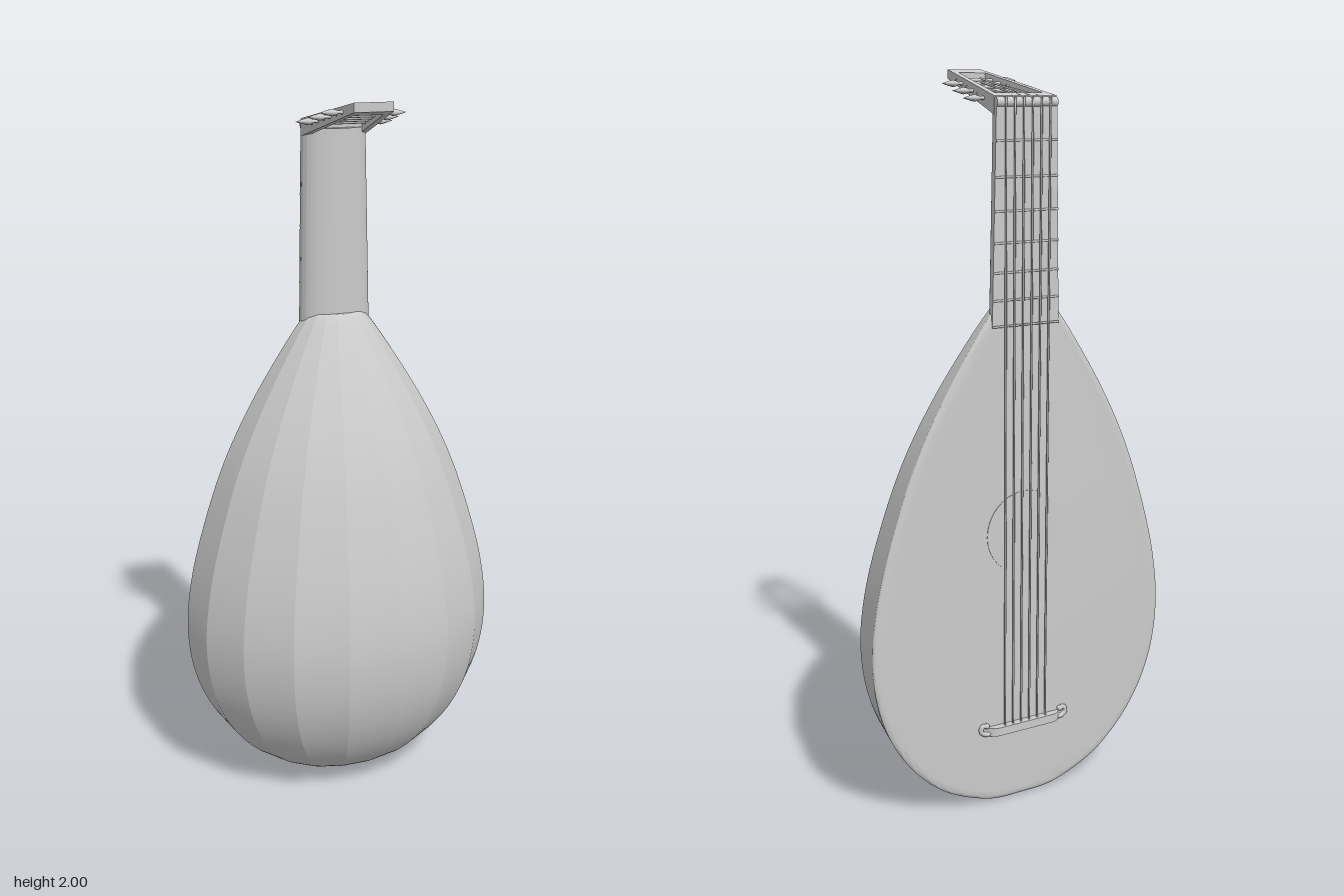
import * as THREE from 'three';
import { toCreasedNormals } from 'three/addons/utils/BufferGeometryUtils.js';

const V = (x, y, z) => new THREE.Vector3(x, y, z);
const mat = new THREE.MeshStandardMaterial({ color: 0xcccccc });

function add(parent, name, geo) {
  const m = new THREE.Mesh(geo, mat);
  m.name = name;
  parent.add(m);
  return m;
}

function group(parent, name) {
  const g = new THREE.Group();
  g.name = name;
  parent.add(g);
  return g;
}

// Thin round bar between two points
function rod(parent, name, a, b, r, sides = 6) {
  const m = add(parent, name, new THREE.CylinderGeometry(r, r, a.distanceTo(b), sides));
  m.position.copy(a).add(b).multiplyScalar(0.5);
  m.quaternion.setFromUnitVectors(V(0, 1, 0), b.clone().sub(a).normalize());
  return m;
}

// Move every vertex by a rule
function warp(geo, fn) {
  const p = geo.attributes.position;
  for (let i = 0; i < p.count; i++) p.setXYZ(i, ...fn(p.getX(i), p.getY(i), p.getZ(i)));
  geo.computeVertexNormals();
  return geo;
}

// Half outline of the body (half width, height)
const outline = new THREE.SplineCurve([
  [0, 0], [0.11, 0.008], [0.25, 0.07], [0.36, 0.18], [0.43, 0.32], [0.455, 0.48], [0.438, 0.65],
  [0.387, 0.84], [0.32, 1.02], [0.225, 1.2], [0.1, 1.388], [0.06, 1.412], [0, 1.418],
].map(([x, y]) => new THREE.Vector2(x, y))).getPoints(72);

// One bowl rib between two section points, smooth along its length
function ribGeometry([xa, da], [xb, db]) {
  const pos = [], index = [];
  outline.forEach(({ x: r, y }, i) => {
    pos.push(r * xa, y, -0.17 + r * da, r * xb, y, -0.17 + r * db);
    if (i) {
      const k = 2 * i;
      index.push(k - 2, k - 1, k + 1, k - 2, k + 1, k);
    }
  });
  const g = new THREE.BufferGeometry();
  g.setAttribute('position', new THREE.Float32BufferAttribute(pos, 3));
  g.setIndex(index);
  g.computeVertexNormals();
  return g;
}

// Pegbox rules: half width and centre height along z
const boxHalf = z => 0.09 - (z + 0.165) * 0.122;
const boxY = z => 1.952 + 0.24 * z;

export function createModel() {
  const root = new THREE.Group();
  root.name = 'lute';

  // Bowl of nine ribs
  const bowl = group(root, 'bowl');
  const half = [[1, 0], [0.945, 0.29], [0.77, 0.53], [0.505, 0.715], [0.175, 0.807]];
  const section = [...half.map(([x, d]) => [-x, d]), ...half.slice().reverse()];
  for (let i = 0; i < 9; i++) add(bowl, 'rib', ribGeometry(section[i], section[i + 1]));

  // Soundboard with a rounded rim
  const edge = [...outline, ...outline.slice(1, -1).reverse().map(p => new THREE.Vector2(-p.x, p.y))];
  const board = new THREE.ExtrudeGeometry(new THREE.Shape(edge), {
    depth: 0.002, bevelThickness: 0.007, bevelSize: 0.022, bevelOffset: -0.022, bevelSegments: 4,
  });
  add(root, 'soundboard', toCreasedNormals(board, 0.6)).position.z = -0.171;

  // Rose on the soundboard
  const rose = add(root, 'rose', new THREE.CylinderGeometry(0.115, 0.115, 0.003, 40));
  rose.rotation.x = Math.PI / 2;
  rose.position.set(0, 0.787, -0.178);

  // Neck: half-round section, tapering upward
  const neckWidth = y => 0.1 - (y - 1.38) * 0.021;
  const d = new THREE.Shape();
  d.absellipse(0, 0, 1, 0.052, Math.PI, 2 * Math.PI, false);
  d.closePath();
  const neck = new THREE.ExtrudeGeometry(d, { depth: 0.54, bevelEnabled: false, curveSegments: 28 });
  neck.rotateX(-Math.PI / 2);
  warp(neck, (x, y, z) => [x * neckWidth(y + 1.37), y + 1.37, z - 0.171]);
  add(root, 'neck', toCreasedNormals(neck, 0.6));

  // Fingerboard, frets and nut
  const fingerboard = new THREE.BoxGeometry(2, 0.56, 0.011).toNonIndexed();
  add(root, 'fingerboard', warp(fingerboard, (x, y, z) => [x * neckWidth(y + 1.64), y + 1.64, z - 0.175]));
  const frets = group(root, 'frets');
  for (let n = 1; n <= 7; n++) {
    const y = 1.92 - 1.7 * (1 - 2 ** (-n / 12));
    const w = neckWidth(y);
    rod(frets, 'fret', V(-w, y, -0.181), V(w, y, -0.181), 0.003);
  }
  rod(root, 'nut', V(-0.089, 1.918, -0.174), V(0.089, 1.918, -0.174), 0.013, 16);

  // Open pegbox, thinner and narrower toward the tip
  const plan = (z0, z1, inset, Path) => new Path([
    [-boxHalf(z0) + inset, -z0], [-boxHalf(z1) + inset, -z1],
    [boxHalf(z1) - inset, -z1], [boxHalf(z0) - inset, -z0],
  ].map(([x, y]) => new THREE.Vector2(x, y)));
  const shape = plan(-0.172, 0.148, 0, THREE.Shape);
  shape.holes.push(plan(-0.14, 0.106, 0.017, THREE.Path));
  const pegbox = new THREE.ExtrudeGeometry(shape, { depth: 1, bevelEnabled: false });
  pegbox.rotateX(-Math.PI / 2);
  add(root, 'pegbox', warp(pegbox, (x, y, z) => [x, boxY(z) + (y - 0.5) * (0.034 - 0.07 * z), z]));

  // Pegs on alternating sides
  const pegs = group(root, 'pegs');
  const pegZ = [-0.103, -0.065, -0.03, 0.008, 0.045, 0.08];
  pegZ.forEach((z, i) => {
    const w = boxHalf(z);
    const profile = [
      [0, -w], [0.008, -w], [0.008, w], [0.006, w + 0.01], [0.012, w + 0.02],
      [0.014, w + 0.027], [0.009, w + 0.04], [0, w + 0.06],
    ].map(([x, y]) => new THREE.Vector2(x, y));
    const peg = add(pegs, 'peg', new THREE.LatheGeometry(profile, 12));
    peg.scale.x = 0.65;
    peg.rotation.z = i % 2 ? Math.PI / 2 : -Math.PI / 2;
    peg.position.set(0, boxY(z), z);
  });

  // Strings: bridge to nut, then over to the pegs
  const strings = group(root, 'strings');
  pegZ.forEach((z, i) => {
    const side = i % 2 ? -1 : 1;
    const x = side * (0.065 - 0.026 * Math.floor(i / 2));
    const top = V(x, 1.93, -0.187);
    rod(strings, 'string', V(x, 0.22, -0.19), top, 0.0028);
    rod(strings, 'stringEnd', top, V(x * 0.8, boxY(z) + 0.005, z), 0.0028);
  });

  // Bridge bar with curled tips
  const bridge = group(root, 'bridge');
  const bar = new THREE.Shape();
  bar.moveTo(-0.13, 0.176);
  bar.bezierCurveTo(-0.11, 0.18, -0.11, 0.199, -0.085, 0.199);
  bar.lineTo(0.085, 0.199);
  bar.bezierCurveTo(0.11, 0.199, 0.11, 0.18, 0.13, 0.176);
  bar.closePath();
  const barGeo = new THREE.ExtrudeGeometry(bar, { depth: 0.024, bevelEnabled: false, curveSegments: 8 });
  barGeo.rotateX(-Math.PI / 2);
  add(bridge, 'bridgeBar', toCreasedNormals(barGeo, 0.6)).position.y = 0.208;
  for (const s of [-1, 1]) {
    const curl = new THREE.CatmullRomCurve3([
      V(s * 0.1, 0.217, -0.182), V(s * 0.122, 0.214, -0.182), V(s * 0.137, 0.225, -0.182),
      V(s * 0.132, 0.24, -0.182), V(s * 0.119, 0.238, -0.182),
    ]);
    add(bridge, 'bridgeTip', new THREE.TubeGeometry(curl, 16, 0.007, 8));
    add(bridge, 'bridgeTipEnd', new THREE.SphereGeometry(0.008, 10, 8)).position.set(s * 0.119, 0.238, -0.182);
  }

  return root;
}
